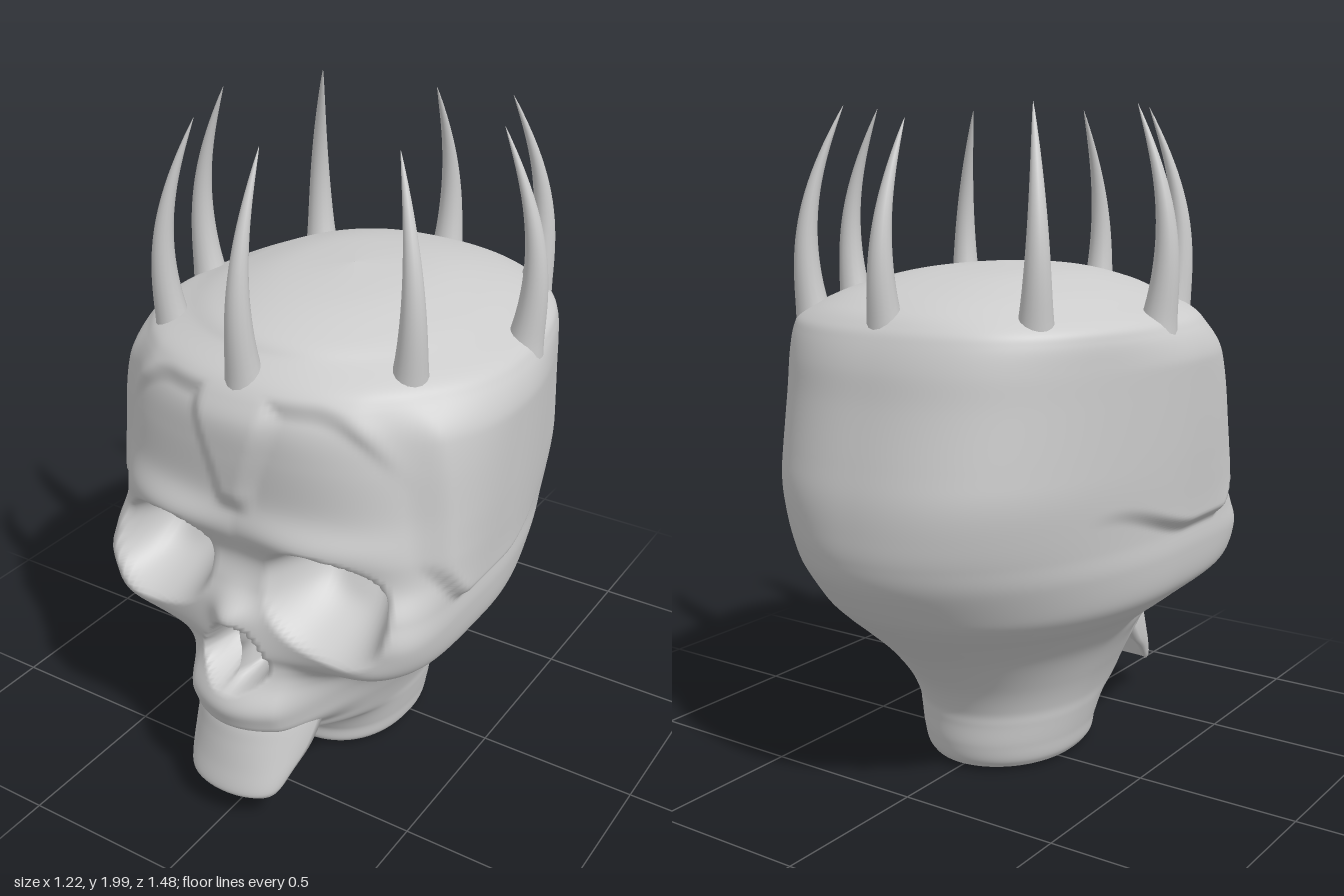
import * as THREE from 'three';

const material = new THREE.MeshStandardMaterial({ color: 0xcccccc, side: THREE.DoubleSide });
const step = (a, b, v) => THREE.MathUtils.smoothstep(v, a, b);
const bell = (v, c, s) => Math.exp(-(((v - c) / s) ** 2));

// Smoothly blends a list of stations at t = 0..1
function sample(stations, t) {
  const f = t * (stations.length - 1);
  const i = Math.min(Math.floor(f), stations.length - 2);
  const k = f - i;
  const at = (n) => stations[Math.max(0, Math.min(stations.length - 1, n))];
  return stations[i].map((p1, c) => {
    const p2 = at(i + 1)[c];
    const m1 = (p2 - at(i - 1)[c]) / 2;
    const m2 = (at(i + 2)[c] - p1) / 2;
    const k2 = k * k, k3 = k2 * k;
    return (2 * k3 - 3 * k2 + 1) * p1 + (k3 - 2 * k2 + k) * m1 + (3 * k2 - 2 * k3) * p2 + (k3 - k2) * m2;
  });
}

// Skin of closed loops stacked upwards; point(t, s) returns [x, y, z]
function loft(name, rows, cols, point) {
  const positions = [], index = [];
  for (let i = 0; i <= rows; i++) {
    for (let j = 0; j < cols; j++) positions.push(...point(i / rows, j / cols));
  }
  for (let i = 0; i < rows; i++) {
    for (let j = 0; j < cols; j++) {
      const n = (j + 1) % cols;
      const a = i * cols + j, b = i * cols + n, c = b + cols, d = a + cols;
      index.push(a, b, c, a, c, d);
    }
  }
  const geometry = new THREE.BufferGeometry();
  geometry.setAttribute('position', new THREE.Float32BufferAttribute(positions, 3));
  geometry.setIndex(index);
  geometry.computeVertexNormals();
  const mesh = new THREE.Mesh(geometry, material);
  mesh.name = name;
  return mesh;
}

// Height, half width, front z, back z, squareness of the front, centre z
const skullStations = [
  [0.015, 0.001, 0.031, 0.029, 2, 0.03],
  [0.02, 0.19, 0.25, -0.2, 2.2, 0.03],
  [0.04, 0.235, 0.315, -0.25, 2.3, 0.03],
  [0.1, 0.25, 0.33, -0.27, 2.3, 0.03],
  [0.17, 0.265, 0.39, -0.275, 2.2, 0.04],
  [0.22, 0.275, 0.52, -0.285, 2, 0.05],
  [0.3, 0.305, 0.55, -0.33, 2, 0.06],
  [0.4, 0.355, 0.57, -0.42, 2, 0.07],
  [0.48, 0.425, 0.58, -0.51, 2.1, 0.09],
  [0.54, 0.49, 0.6, -0.58, 2.8, 0.1],
  [0.6, 0.538, 0.62, -0.64, 4.8, 0.12],
  [0.7, 0.555, 0.63, -0.71, 6.5, 0.12],
  [0.78, 0.553, 0.615, -0.735, 5.8, 0.12],
  [0.86, 0.555, 0.6, -0.74, 4.2, 0.12],
  [0.95, 0.56, 0.62, -0.735, 3.3, 0.12],
  [1.05, 0.565, 0.615, -0.715, 2.9, 0.12],
  [1.2, 0.57, 0.62, -0.68, 2.5, 0.11],
  [1.3, 0.572, 0.615, -0.66, 2.2, 0.1],
  [1.37, 0.568, 0.58, -0.635, 2.05, 0.08],
  [1.41, 0.545, 0.555, -0.61, 2.05, 0.06],
  [1.45, 0.46, 0.51, -0.56, 2, 0.04],
  [1.49, 0.36, 0.45, -0.46, 2, 0.02],
  [1.53, 0.21, 0.28, -0.27, 2, 0],
  [1.55, 0.001, 0.001, -0.001, 2, 0],
];

// Relief of the face, as a shift in z
function faceRelief(x, y) {
  const ax = Math.abs(x);
  // eye sockets, tilted down to the outside and deepest under the brow
  const ex = ax - 0.28, ey = y - 0.79 + ex * 0.15;
  const eye = Math.abs(ex / 0.185) ** 2.3 + Math.abs(ey / 0.158) ** 2.3;
  let dz = -0.22 * (1 - step(0.05, 1.1, eye)) * (1 + ey * 1.5);
  // brow, cheekbones and nasal bone
  dz += 0.03 * bell(y, 0.97, 0.06) * bell(ax, 0.22, 0.2);
  dz += 0.02 * bell(y, 0.61, 0.05) * bell(ax, 0.42, 0.1);
  dz += 0.055 * bell(y, 0.55, 0.13) * bell(x, 0, 0.15);
  dz += 0.05 * bell(y, 0.7, 0.06) * bell(x, 0, 0.06);
  // root of the upper jaw, flowing up into the cheeks
  dz += 0.14 * (1 - step(0.14, 0.28, ax)) * step(0.24, 0.34, y) * (1 - step(0.38, 0.57, y));
  // pear-shaped nose opening with its thin dividing wall
  const half = 0.115 - 0.4 * Math.max(0, y - 0.53);
  const nose = (x / Math.max(half, 0.02)) ** 2 + ((y - 0.565) / 0.115) ** 2;
  dz -= 0.15 * (1 - step(0.45, 1.1, nose)) * (0.35 + 0.65 * step(0, 0.03, ax));
  // raised forehead plate with a pointed tongue and two arches
  const h = 0.04 + 0.075 * step(1.04, 1.36, y);
  const tongue = (1 - step(h - 0.025, h + 0.035, ax)) * step(1.01, 1.09, y);
  const arch = 1.36 - 3 * Math.max(0, ax - 0.22) ** 2;
  const plate = Math.max(tongue, step(arch - 0.04, arch + 0.03, y) * (1 - step(0.32, 0.5, ax)));
  return dz + 0.03 * plate * (1 - step(1.36, 1.46, y));
}

function skullPoint(t, s) {
  const [y, w, front, back, nf, zc] = sample(skullStations, t);
  const angle = s * Math.PI * 2;
  const sx = Math.sin(angle), cz = Math.cos(angle);
  const n = cz > 0 ? nf : 2 + 0.5 * step(0.6, 1, y);
  const depth = Math.max(0.001, cz > 0 ? front - zc : zc - back);
  const r = (Math.abs(sx / Math.max(w, 0.001)) ** n + Math.abs(cz / depth) ** n) ** (-1 / n);
  let x = sx * r, z = zc + cz * r;
  // temple plates overhanging the cheekbones, and the hollow beneath
  const side = step(0.3, 0.42, Math.abs(x));
  const edge = 0.87 - 0.09 * step(-0.25, 0.15, z) + 0.14 * step(0.33, 0.48, z);
  const temple = (1 - step(0.4, 0.48, z)) * step(edge - 0.015, edge + 0.035, y)
    * step(-0.35, 0.1, z) * (1 - step(1.28, 1.44, y));
  const hollow = bell(y, 0.47 + 0.15 * (z - 0.2), 0.05) * step(0, 0.25, z);
  x += Math.sign(x) * side * (0.038 * temple - 0.03 * hollow);
  z += faceRelief(x, y) * step(0.22, 0.42, z);
  return [x, y, z];
}

// Height, half width, front z, side z, thickness
const jawStations = [
  [0.105, 0.15, 0.725, 0.65, 0.006],
  [0.125, 0.165, 0.74, 0.62, 0.03],
  [0.2, 0.185, 0.725, 0.55, 0.045],
  [0.28, 0.198, 0.71, 0.47, 0.07],
  [0.35, 0.2, 0.695, 0.41, 0.1],
  [0.39, 0.19, 0.66, 0.38, 0.1],
  [0.42, 0.17, 0.57, 0.36, 0.1],
];

// Upper jaw: a hanging shell, hollow behind
function jawPoint(t, s) {
  const [y, a, front, side, thick] = sample(jawStations, t);
  const outer = s < 0.5;
  const u = (outer ? s * 2 : 2 - s * 2) * Math.PI - Math.PI / 2;
  const inset = outer ? 0 : thick;
  const bow = Math.max(0, Math.cos(u)) ** 0.75;
  const z = side + (front - side - inset) * bow;
  const lift = 0.3 * (front - z) * (1 - step(0.1, 0.25, y));
  return [(a - inset * 0.7) * Math.sin(u), y + lift, z];
}

// Curved horn from a base to a tip, bulging outwards first
function horn([bx, bz, tx, tz, top]) {
  const out = new THREE.Vector2(bx, bz).normalize().multiplyScalar(0.05);
  return loft('horn', 24, 16, (t, s) => {
    const a = s * Math.PI * 2;
    const r = 0.05 * (1 - t) ** 0.85 + 0.012 * Math.exp(-t * 12) + 0.0005;
    const bend = t ** 2;
    const bulge = Math.sin(Math.PI * t) * 0.85;
    return [
      bx + (tx - bx) * bend + out.x * bulge + r * Math.sin(a),
      1.36 + (top - 1.36) * t,
      bz + (tz - bz) * bend + out.y * bulge + r * Math.cos(a),
    ];
  });
}

export function createModel() {
  const model = new THREE.Group();
  model.name = 'hornedSkull';
  model.add(loft('skull', 230, 224, skullPoint));
  model.add(loft('upperJaw', 36, 64, jawPoint));

  // Ring of horns: base x, base z, tip x, tip z, tip height
  const crown = new THREE.Group();
  crown.name = 'hornCrown';
  const horns = [
    [0, 0.54, 0, 0.45, 2], [0, -0.555, 0, -0.47, 1.96],
    [0.385, 0.34, 0.32, 0.29, 2], [-0.375, 0.36, -0.31, 0.32, 2],
    [0.52, -0.06, 0.44, -0.05, 2], [-0.52, 0, -0.45, 0, 2],
    [0.375, -0.42, 0.31, -0.36, 2], [-0.375, -0.4, -0.32, -0.33, 2],
  ];
  horns.forEach((h) => crown.add(horn(h)));
  model.add(crown);
  return model;
}
